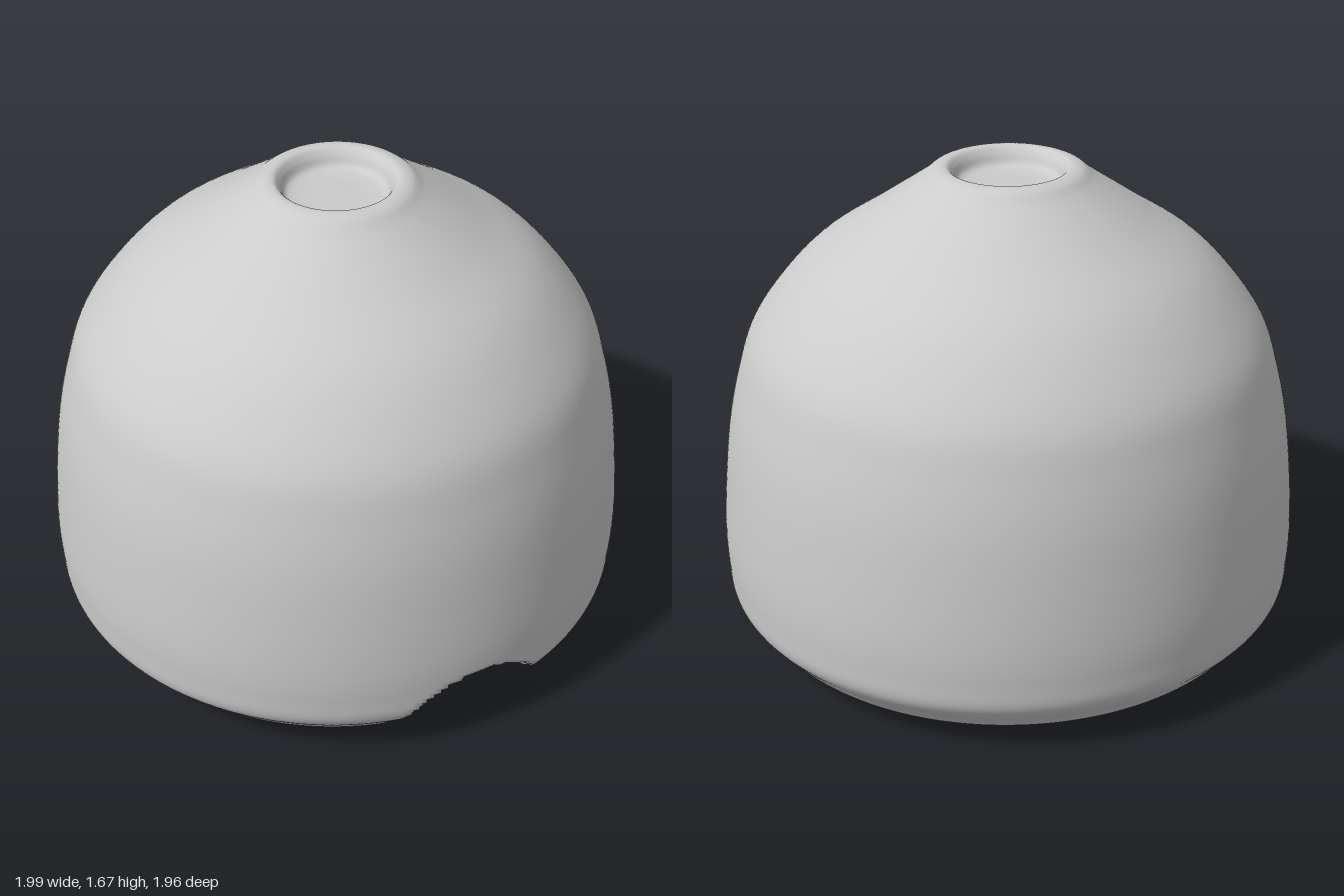
import * as THREE from 'three';
import { mergeVertices } from 'three/addons/utils/BufferGeometryUtils.js';

// Half section [radius, y]: base centre, bevelled foot, wall, shoulder, rim, shallow top dish
const PROFILE = [
  [0, 0], [0.35, 0.005], [0.64, 0.013], [0.7, 0.022], [0.87, 0.058], [0.925, 0.115],
  [0.98, 0.185], [0.992, 0.28], [0.995, 0.4], [0.981, 0.6], [0.956, 0.8], [0.92, 0.96],
  [0.875, 1.1], [0.79, 1.23], [0.665, 1.365], [0.47, 1.5], [0.29, 1.625], [0.245, 1.66],
  [0.205, 1.665], [0.185, 1.645], [0.165, 1.61], [0.12, 1.6], [0, 1.6],
];
const DEPTH_SCALE = 0.983;

// Arched doorway pressed into the front at ground level
const DOOR = { halfWidth: 0.28, height: 0.295, wallZ: 0.67 };

function pressDoor(geometry) {
  const p = geometry.attributes.position;
  for (let i = 0; i < p.count; i++) {
    const x = p.getX(i), y = p.getY(i), z = p.getZ(i);
    if (z <= DOOR.wallZ) continue;
    const t = Math.hypot(x / DOOR.halfWidth, y / DOOR.height);
    const inside = 1 - THREE.MathUtils.smoothstep(t, 0.9, 1.04);
    p.setZ(i, THREE.MathUtils.lerp(z, DOOR.wallZ, inside));
  }
}

export function createModel() {
  const group = new THREE.Group();
  group.name = 'domedHut';

  // Smooth curve through the section, clamped so the poles stay on the axis
  const curve = new THREE.CatmullRomCurve3(
    PROFILE.map(([r, y]) => new THREE.Vector3(r, y, 0)), false, 'centripetal');
  const section = curve.getPoints((PROFILE.length - 1) * 7)
    .map((v) => new THREE.Vector2(Math.max(v.x, 0), Math.max(v.y, 0)));

  // Body of revolution, seam at the back, welded for continuous normals
  let body = new THREE.LatheGeometry(section, 256, Math.PI);
  body.scale(1, 1, DEPTH_SCALE);
  pressDoor(body);
  body.deleteAttribute('uv');
  body.deleteAttribute('normal');
  body = mergeVertices(body, 1e-5);
  body.computeVertexNormals();

  const mesh = new THREE.Mesh(body, new THREE.MeshStandardMaterial({
    color: 0xcccccc, side: THREE.DoubleSide,
  }));
  mesh.name = 'domeBody';
  group.add(mesh);
  return group;
}
